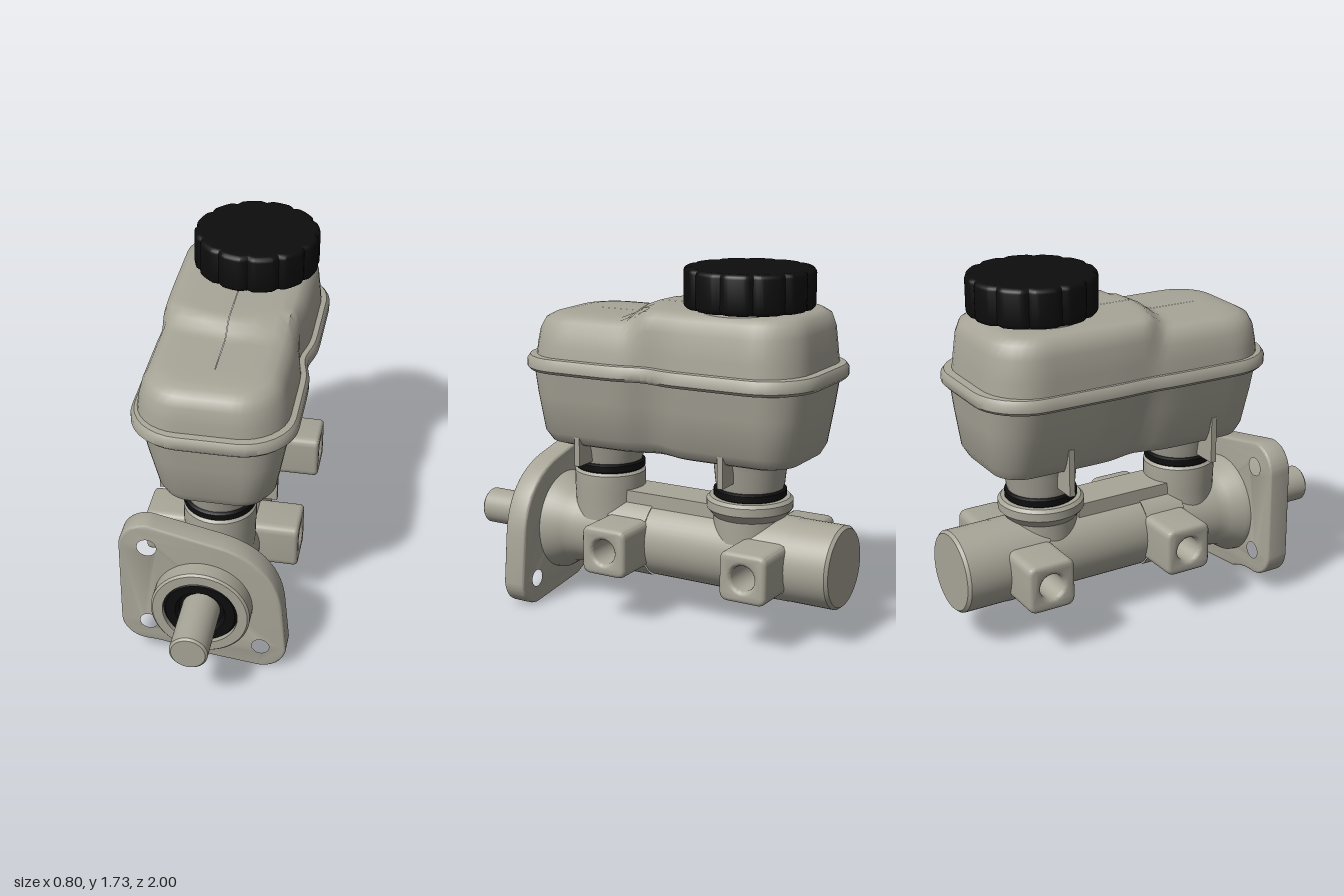
import * as THREE from 'three';
import { toCreasedNormals } from 'three/addons/utils/BufferGeometryUtils.js';

const AXIS_Y = 0.37; // height of the bore axis

export function createModel() {
  const model = new THREE.Group();
  const metal = new THREE.MeshStandardMaterial({ color: 0xa8a598 });
  metal.name = 'warm grey';
  const black = new THREE.MeshStandardMaterial({ color: 0x0d0d0d });
  black.name = 'black rubber';

  const add = (name, geometry, material, x = 0, y = 0, z = 0) => {
    const mesh = new THREE.Mesh(geometry, material);
    mesh.name = name;
    mesh.position.set(x, y, z);
    model.add(mesh);
    return mesh;
  };
  // Turned part; profile is [radius, height] from bottom to top
  const turned = (profile, segments = 48) => toCreasedNormals(
    new THREE.LatheGeometry(profile.map(p => new THREE.Vector2(p[0], p[1])), segments), 0.6);
  // Turned part lying along z; profile is [radius, z] from back to front
  const bar = (name, profile, material) =>
    add(name, turned(profile).rotateX(Math.PI / 2), material, 0, AXIS_Y, 0);
  const extrude = (shape, depth, bevel, segments = 3) => toCreasedNormals(new THREE.ExtrudeGeometry(shape, {
    depth: depth - 2 * bevel, bevelSize: bevel, bevelThickness: bevel, bevelOffset: -bevel,
    bevelSegments: segments, curveSegments: 16,
  }).translate(0, 0, bevel), 0.6);
  const hole = (x, y, r) => new THREE.Path().absarc(x, y, r, 0, Math.PI * 2, true);

  // ---- Cylinder body: full barrel pieces, leaving gaps for the drilled bosses
  const R = 0.193;
  bar('barrelRear', [[0, -1], [0.185, -1], [0.198, -0.985], [0.198, -0.77], [0, -0.77]], metal);
  bar('barrelMiddle', [[0, -0.56], [R, -0.56], [R, -0.03], [0, -0.03]], metal);
  bar('barrelFront', [[0, 0.18], [R, 0.18], [R, 0.38], [0.205, 0.44], [0.245, 0.5], [0.25, 0.56], [0, 0.56]], metal);

  // Side bosses, drilled right through
  const bossShape = new THREE.Shape();
  const h = 0.118, c = 0.045;
  bossShape.moveTo(-h + c, -h);
  bossShape.lineTo(h - c, -h).quadraticCurveTo(h, -h, h, -h + c);
  bossShape.lineTo(h, h - c).quadraticCurveTo(h, h, h - c, h);
  bossShape.lineTo(-h + c, h).quadraticCurveTo(-h, h, -h, h - c);
  bossShape.lineTo(-h, -h + c).quadraticCurveTo(-h, -h, -h + c, -h);
  bossShape.holes.push(hole(0, 0, 0.06));
  for (const z of [0.075, -0.665]) {
    add('sideBoss', extrude(bossShape, 0.76, 0.02).rotateY(Math.PI / 2), metal, -0.38, AXIS_Y, z);
    // barrel wall above and below the boss
    for (const mid of [0, Math.PI]) {
      const wall = new THREE.CylinderGeometry(0.2, 0.2, 0.216, 24, 1, true, mid - 0.97, 1.94);
      add('barrelWall', wall.rotateX(Math.PI / 2), metal, 0, AXIS_Y, z);
    }
  }

  // Port towers, seals, reservoir necks and fins
  const ports = [{ z: 0.26, top: 0.69, skirt: 0.175 }, { z: -0.515, top: 0.655, skirt: 0.205 }];
  for (const { z, top, skirt } of ports) {
    add('portTower', turned([[0.17, 0.45], [0.172, 0.56], [skirt, 0.6], [skirt, top - 0.015], [skirt - 0.015, top], [0, top]]),
      metal, 0.01, 0, z);
    add('portSeal', turned([[0, top - 0.005], [0.16, top - 0.005], [0.172, top + 0.005], [0.172, top + 0.035], [0.16, top + 0.043], [0, top + 0.043]]),
      black, 0.01, 0, z);
    add('reservoirNeck', turned([[0, top + 0.035], [0.155, top + 0.035], [0.163, top + 0.06], [0.172, 0.8], [0.19, 0.86], [0, 0.86]]),
      metal, 0.01, 0, z);
    add('reservoirFin', new THREE.BoxGeometry(0.565, 0.23, 0.028), metal, 0.005, 0.86, z + 0.015);
  }
  add('barrelWeb', new THREE.BoxGeometry(0.2, 0.12, 0.5), metal, 0, 0.543, -0.12);

  // ---- Mounting flange with three bolt holes
  const f = new THREE.Shape();
  f.moveTo(-0.4, 0.655);
  f.absarc(-0.27, 0.655, 0.13, Math.PI, 1.3, true);
  f.lineTo(0.08, 0.71);
  f.bezierCurveTo(0.27, 0.66, 0.36, 0.53, 0.375, 0.36);
  f.lineTo(0.397, 0.13);
  f.absarc(0.27, 0.13, 0.127, 0, -1.65, true);
  f.lineTo(-0.1, 0.045);
  f.quadraticCurveTo(-0.17, 0.085, -0.27, 0.085);
  f.absarc(-0.27, 0.215, 0.13, -Math.PI / 2, -Math.PI, true);
  f.closePath();
  f.holes.push(hole(-0.265, 0.66, 0.058), hole(-0.265, 0.205, 0.055), hole(0.275, 0.13, 0.054));
  add('mountingFlange', extrude(f, 0.115, 0.012), metal, 0, 0, 0.53);

  // Hub, seal and push rod
  bar('hub', [[0.235, 0.6], [0.235, 0.72], [0.225, 0.73], [0.178, 0.73], [0.178, 0.66]], metal);
  bar('hubSeal', [[0.18, 0.7], [0.165, 0.722], [0.12, 0.722], [0.105, 0.69], [0, 0.69]], black);
  bar('pushRod', [[0.09, 0.66], [0.09, 0.99], [0.08, 1], [0, 1]], metal);

  // ---- Reservoir, lofted through rounded rectangles
  const smooth = THREE.MathUtils.smoothstep;
  const ring = (x0, x1, z0, z1, radius) => {
    const w = (x1 - x0) / 2, l = (z1 - z0) / 2, r = Math.min(radius, w, l), pts = [];
    const signs = [[1, 1], [-1, 1], [-1, -1], [1, -1]];
    signs.forEach(([sx, sz], k) => {
      for (let i = 0; i <= 8; i++) {
        const a = (k + i / 8) * Math.PI / 2;
        pts.push([sx * (w - r) + r * Math.cos(a), sz * (l - r) + r * Math.sin(a)]);
      }
      // points along the straight side
      const [nx, nz] = signs[(k + 1) % 4], a = (k + 1) * Math.PI / 2;
      const from = pts[pts.length - 1];
      const to = [nx * (w - r) + r * Math.cos(a), nz * (l - r) + r * Math.sin(a)];
      const n = k % 2 ? 28 : 4;
      for (let i = 1; i < n; i++) pts.push([0, 1].map(j => from[j] + (to[j] - from[j]) * i / n));
    });
    return pts.map(p => [p[0] + (x0 + x1) / 2, p[1] + (z0 + z1) / 2]);
  };
  // section: [y, x0, x1, z0, z1, corner radius, pinch at -x, pinch at +x]
  const loft = sections => {
    const pos = [], index = [];
    let n = 0;
    for (const [y, x0, x1, z0, z1, r, pinchL, pinchR] of sections) {
      const pts = ring(x0, x1, z0, z1, r);
      n = pts.length;
      for (const [x, z] of pts) {
        const waist = Math.exp(-(((z + 0.13) / 0.1) ** 2));
        const back = 1 - smooth(z + 1.1 * x * x, -0.02, 0.09); // raised rear chamber
        const upper = smooth(y, 1.28, 1.46);
        const px = x * (1 - waist * (x < 0 ? pinchL : pinchR)) * (1 - 0.05 * upper * (1 - back));
        pos.push(px, y + 0.06 * back * upper - 0.012 * z, z);
      }
    }
    for (let s = 0; s < sections.length - 1; s++) {
      for (let i = 0; i < n; i++) {
        const a = s * n + i, b = s * n + (i + 1) % n;
        index.push(a, a + n, b, b, a + n, b + n);
      }
    }
    const g = new THREE.BufferGeometry();
    g.setAttribute('position', new THREE.Float32BufferAttribute(pos, 3));
    g.setIndex(index);
    return toCreasedNormals(g, 0.75);
  };
  add('reservoirLower', loft([
    [0.835, 0.01, 0.012, -0.65, 0.35, 0.01, 0, 0],
    [0.835, -0.19, 0.22, -0.76, 0.44, 0.1, 0.15, 0.2],
    [0.85, -0.23, 0.26, -0.81, 0.49, 0.13, 0.15, 0.2],
    [0.9, -0.255, 0.295, -0.838, 0.518, 0.15, 0.13, 0.2],
    [1.08, -0.3, 0.328, -0.86, 0.543, 0.17, 0.08, 0.15],
    [1.23, -0.335, 0.352, -0.876, 0.56, 0.19, 0.04, 0.1],
  ]), metal);
  add('reservoirRim', loft([
    [1.21, -0.31, 0.31, -0.85, 0.54, 0.2, 0.02, 0.1],
    [1.205, -0.365, 0.375, -0.905, 0.59, 0.24, 0.02, 0.08],
    [1.22, -0.38, 0.39, -0.918, 0.602, 0.25, 0.02, 0.08],
    [1.255, -0.38, 0.39, -0.918, 0.602, 0.25, 0.02, 0.08],
    [1.275, -0.365, 0.375, -0.905, 0.59, 0.24, 0.02, 0.08],
    [1.28, -0.31, 0.31, -0.85, 0.54, 0.2, 0.02, 0.1],
  ]), metal);
  add('reservoirUpper', loft([
    [1.25, -0.355, 0.352, -0.872, 0.56, 0.22, 0.02, 0.09],
    [1.33, -0.35, 0.345, -0.863, 0.555, 0.22, 0.02, 0.07],
    [1.4, -0.342, 0.333, -0.85, 0.545, 0.21, 0.02, 0.05],
    [1.445, -0.322, 0.312, -0.832, 0.525, 0.2, 0.01, 0.03],
    [1.467, -0.285, 0.275, -0.795, 0.485, 0.17, 0, 0],
    [1.474, -0.23, 0.22, -0.75, 0.43, 0.13, 0, 0],
    [1.476, -0.12, 0.12, -0.7, 0.38, 0.08, 0, 0],
    [1.476, 0, 0.002, -0.65, 0.33, 0.001, 0, 0],
  ]), metal);

  // Filler neck and scalloped cap
  add('fillerNeck', turned([[0.27, 1.47], [0.255, 1.51], [0.245, 1.53], [0.245, 1.57]]), metal, 0.03, 0, -0.51);
  const capPoints = [];
  for (let i = 0; i < 120; i++) {
    const a = i / 120 * Math.PI * 2;
    const r = 0.302 - 0.016 * Math.max(0, Math.cos(a * 12)) ** 4;
    capPoints.push(new THREE.Vector2(Math.cos(a) * r, Math.sin(a) * r));
  }
  add('fillerCap', extrude(new THREE.Shape(capPoints), 0.185, 0.022).rotateX(-Math.PI / 2), black, 0.046, 1.55, -0.515);

  return model;
}
